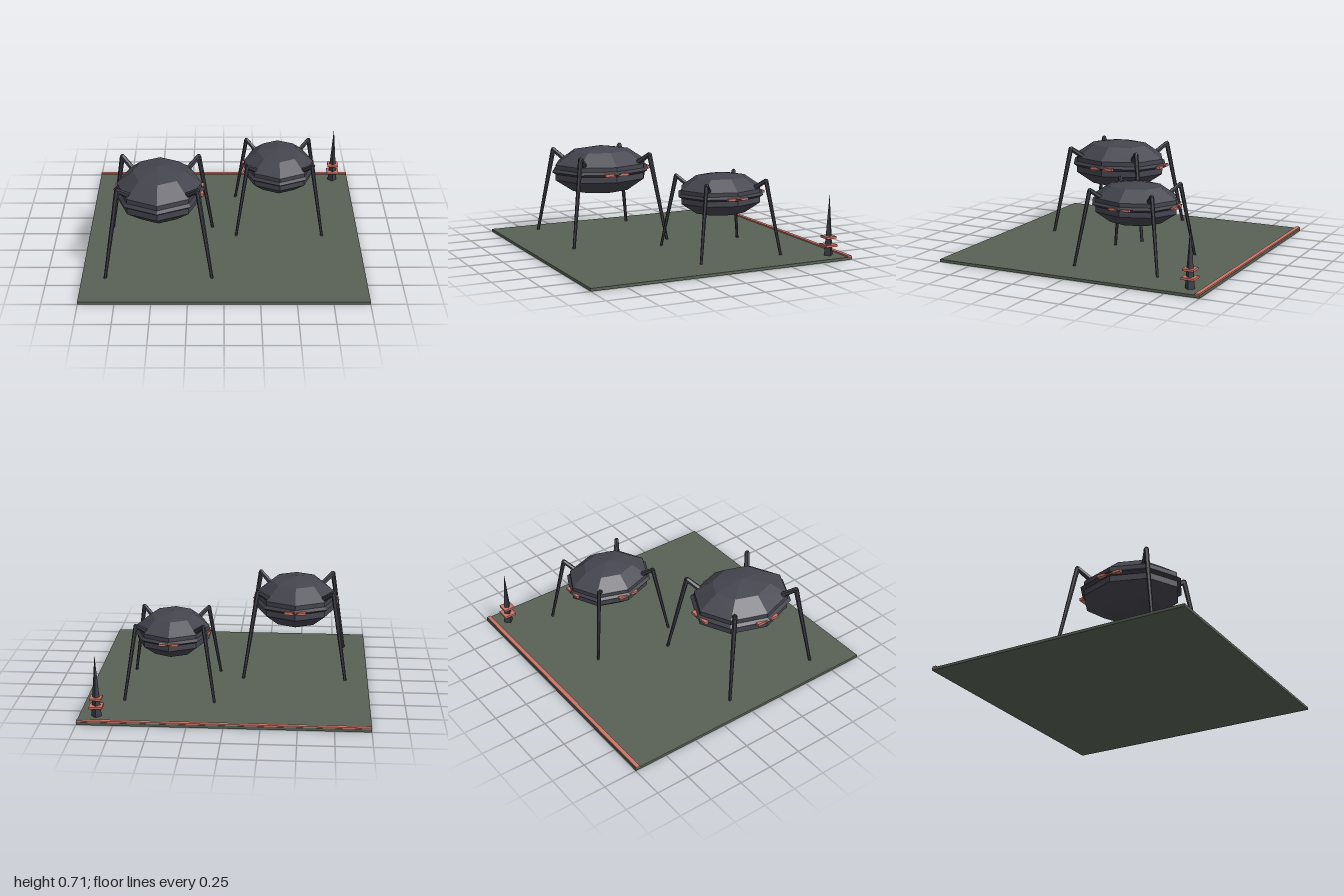
import * as THREE from 'three';

const mat = (name, color) => {
  const m = new THREE.MeshStandardMaterial({ color, flatShading: true });
  m.name = name;
  return m;
};

export function createModel() {
  const hull = mat('dark hull', 0x45454f);
  const limb = mat('dark limb', 0x3c3c45);
  const red = mat('signal red', 0xcb7467);
  const green = mat('grey green', 0x596256);
  const model = new THREE.Group();

  const add = (parent, name, geometry, material, x = 0, y = 0, z = 0) => {
    const mesh = new THREE.Mesh(geometry, material);
    mesh.name = name;
    mesh.position.set(x, y, z);
    parent.add(mesh);
    return mesh;
  };

  // Tapered rod between two points
  const rod = (parent, name, from, to, r0, r1) => {
    const dir = to.clone().sub(from);
    const mid = from.clone().add(to).multiplyScalar(0.5);
    const mesh = add(parent, name, new THREE.CylinderGeometry(r1, r0, dir.length(), 6), limb, mid.x, mid.y, mid.z);
    mesh.quaternion.setFromUnitVectors(new THREE.Vector3(0, 1, 0), dir.normalize());
  };

  // Four-legged pod, built around the centre of its hull
  const pod = (name, x, y, z, scale) => {
    const g = new THREE.Group();
    g.name = name;
    g.position.set(x, y, z);
    g.scale.setScalar(scale);
    model.add(g);

    const shell = new THREE.SphereGeometry(1, 8, 5);
    shell.scale(0.318, 0.185, 0.385);
    add(g, 'hull', shell, hull);

    // Sharp-edged octagonal rim
    const rim = new THREE.TorusGeometry(0.92, 0.08, 4, 8);
    rim.rotateX(Math.PI / 2);
    rim.scale(0.327, 0.25, 0.394);
    add(g, 'rim', rim, limb, 0, 0.006, 0);

    // Lights on both sides and at the back
    for (const s of [-1, 1]) {
      add(g, 'sideLight', new THREE.BoxGeometry(0.03, 0.02, 0.185), red, s * 0.301, 0.003, 0);
      for (const t of [-1, 1]) {
        const shoulder = new THREE.Vector3(s * 0.2, 0.065, t * 0.215);
        const knee = new THREE.Vector3(s * 0.277, 0.134, t * 0.277);
        const foot = new THREE.Vector3(s * 0.375, -0.505, t * 0.375);
        rod(g, 'upperLeg', shoulder, knee, 0.021, 0.018);
        add(g, 'knee', new THREE.IcosahedronGeometry(0.018, 0), limb, knee.x, knee.y, knee.z);
        rod(g, 'lowerLeg', knee, foot, 0.018, 0.011);
      }
    }
    add(g, 'backLight', new THREE.BoxGeometry(0.16, 0.02, 0.03), red, 0, 0.003, -0.366);
  };

  // Ground slab and border strip
  add(model, 'ground', new THREE.BoxGeometry(2, 0.02, 2), green, 0, 0.01, 0);
  add(model, 'borderStrip', new THREE.BoxGeometry(2, 0.01, 0.03), red, 0, 0.025, -0.982);

  pod('largePod', -0.46, 0.523, 0.304, 1);
  pod('smallPod', 0.41, 0.436, -0.257, 0.857);

  // Spire with two square collars
  add(model, 'spire', new THREE.ConeGeometry(0.036, 0.445, 4), limb, 0.878, 0.24, -0.88);
  add(model, 'lowerCollar', new THREE.BoxGeometry(0.092, 0.016, 0.092), red, 0.878, 0.093, -0.88);
  add(model, 'upperCollar', new THREE.BoxGeometry(0.082, 0.016, 0.082), red, 0.878, 0.152, -0.88);

  return model;
}
